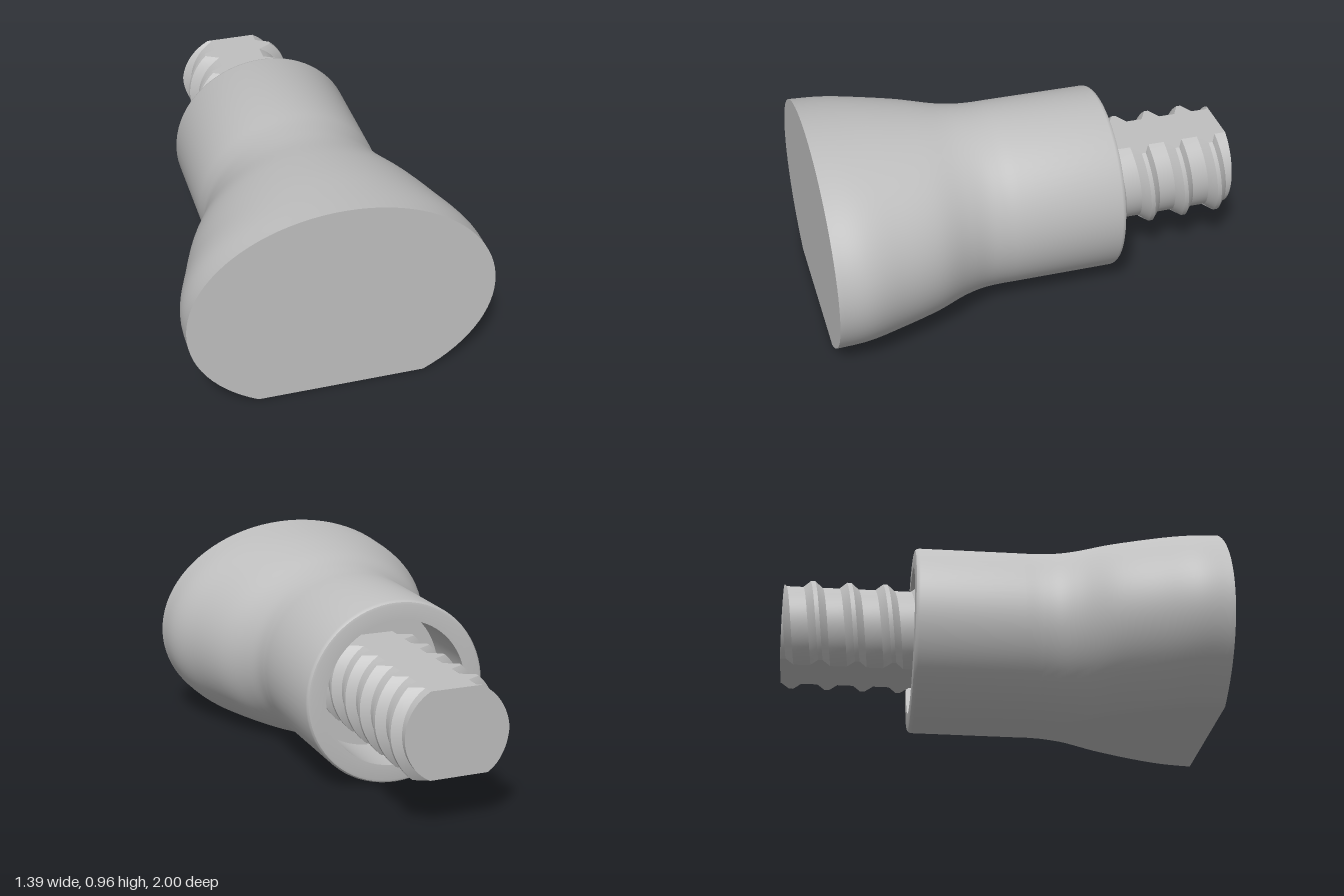
import * as THREE from 'three';
import { toCreasedNormals } from 'three/addons/utils/BufferGeometryUtils.js';

const CENTRE_Y = 0.437;

// Skin a list of closed rings (ordered front to back, counterclockwise seen from +z)
function loft(rings, crease) {
  const pos = [];
  const ab = new THREE.Vector3(), ac = new THREE.Vector3();
  const tri = (a, b, c) => {
    if (ab.subVectors(b, a).cross(ac.subVectors(c, a)).length() < 1e-9) return;
    for (const p of [a, b, c]) pos.push(p.x, p.y, p.z);
  };
  for (let i = 0; i < rings.length - 1; i++) {
    const r0 = rings[i], r1 = rings[i + 1], n = r0.length;
    for (let j = 0; j < n; j++) {
      const k = (j + 1) % n;
      tri(r0[j], r1[j], r1[k]);
      tri(r0[j], r1[k], r0[k]);
    }
  }
  const g = new THREE.BufferGeometry();
  g.setAttribute('position', new THREE.Float32BufferAttribute(pos, 3));
  return toCreasedNormals(g, crease);
}

// Elliptical ring cut flat where it would pass below the ground
function bodyRing(w, h, z, segments = 72) {
  const start = -Math.asin(Math.min(1, CENTRE_Y / Math.max(h, 1e-6)));
  const ring = [];
  for (let j = 0; j <= segments; j++) {
    const a = start + (Math.PI - 2 * start) * j / segments;
    ring.push(new THREE.Vector3(w * Math.cos(a), Math.max(0, CENTRE_Y + h * Math.sin(a)), z));
  }
  return ring;
}

function bodyGeometry() {
  // Half width, half height, z of the flared grip
  const flare = new THREE.CatmullRomCurve3([
    [0.695, 0.523, 1], [0.689, 0.512, 0.85], [0.632, 0.497, 0.68], [0.563, 0.473, 0.5],
    [0.48, 0.449, 0.35], [0.445, 0.441, 0.26], [0.436, 0.437, 0.18], [0.436, 0.437, 0.1],
  ].map(p => new THREE.Vector3(...p)));
  const rows = [[0, 0, 1]];
  for (const p of flare.getPoints(42)) rows.push([p.x, p.y, p.z]);
  // Round collar, softened rim and hollow socket
  for (const [r, z] of [[0.436, -0.38], [0.433, -0.39], [0.427, -0.397], [0.416, -0.4],
    [0.345, -0.4], [0.345, -0.1], [0, -0.1]]) rows.push([r, r, z]);
  return loft(rows.map(([w, h, z]) => bodyRing(w, h, z)), 0.5);
}

// Threaded stud with its top and bottom milled flat
function studGeometry() {
  const pitch = 0.168, crestZ = -0.59, core = 0.228, outer = 0.265;
  const flat = 0.2, front = -0.1, back = -1, columns = 20;
  const radiusAt = (a, z) => {
    const turns = (z - crestZ) / pitch - a / (2 * Math.PI);
    const d = Math.abs(turns - Math.round(turns)) * pitch;
    return core + (outer - core) * THREE.MathUtils.clamp((0.045 - d) / 0.035, 0, 1);
  };
  const point = (side, y, offset) => {
    const tilt = Math.asin(y / 0.245);
    const a = side > 0 ? tilt : Math.PI - tilt;
    const z = THREE.MathUtils.clamp(crestZ + offset + pitch * a / (2 * Math.PI), back, front);
    const r = radiusAt(a, z);
    return new THREE.Vector3(side * Math.sqrt(r * r - y * y), y + 0.44, z);
  };
  const rings = [];
  for (let k = 4; k >= -5; k--) {
    for (const d of [0.045, 0.01, -0.01, -0.045]) {
      const ring = [];
      for (const side of [1, -1]) {
        for (let j = 0; j <= columns; j++) {
          ring.push(point(side, side * flat * (2 * j / columns - 1), k * pitch + d));
        }
      }
      rings.push(ring);
    }
  }
  // Close the free end
  rings.push(rings[0].map(() => new THREE.Vector3(0, 0.44, back)));
  return loft(rings, 0.35);
}

export function createModel() {
  const grey = new THREE.MeshStandardMaterial({ color: 0xbfbfbf });
  grey.name = 'grey';
  const model = new THREE.Group();
  model.name = 'threadedKnob';
  const add = (name, geometry) => {
    const mesh = new THREE.Mesh(geometry, grey);
    mesh.name = name;
    model.add(mesh);
  };
  add('knobBody', bodyGeometry());
  add('threadedStud', studGeometry());
  return model;
}
